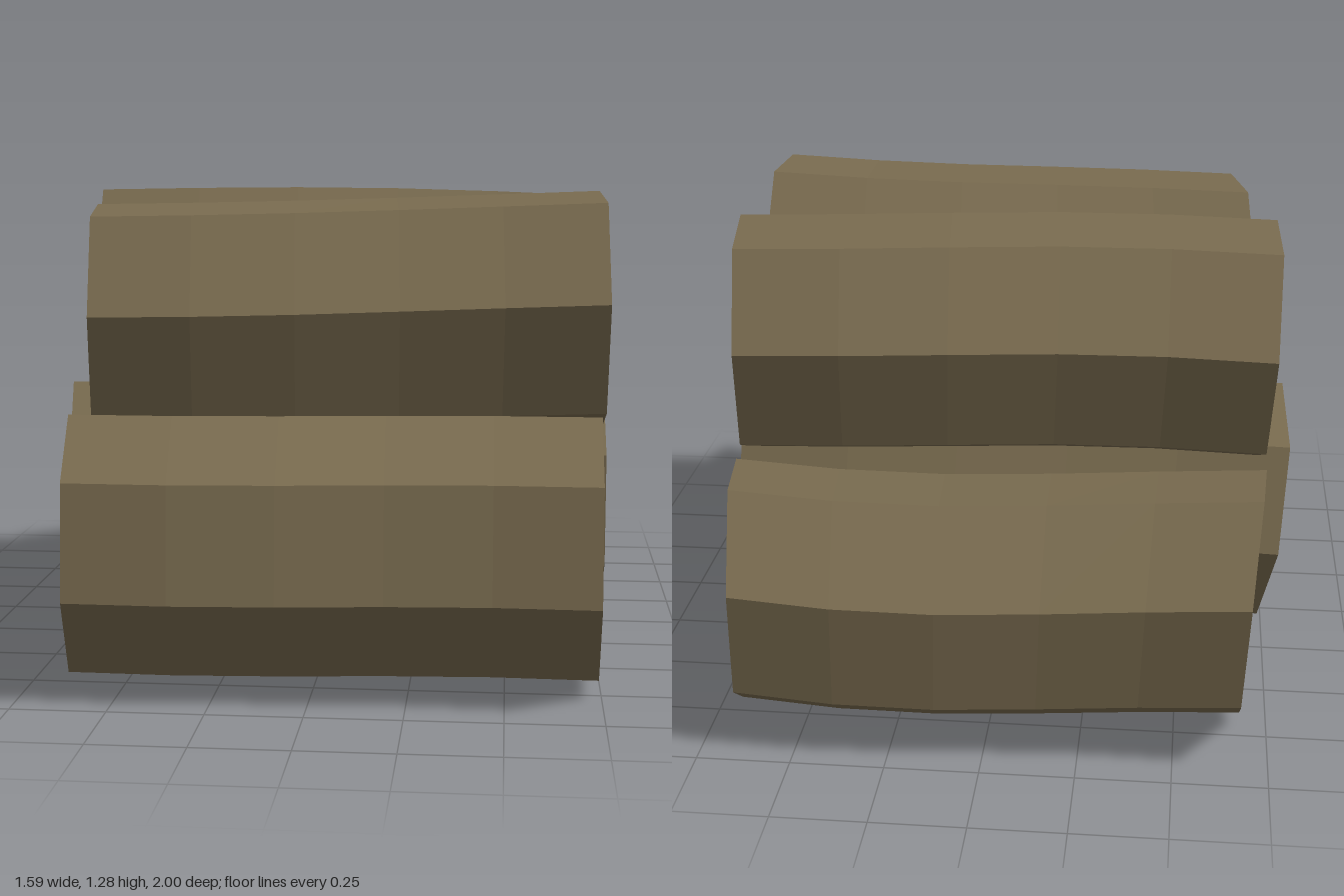
import * as THREE from 'three';

const SIDES = 7;
const SEGMENTS = 5;

const bark = new THREE.MeshStandardMaterial({ color: 0x7a6c50, flatShading: true });
const cutWood = new THREE.MeshStandardMaterial({ color: 0xab9470, flatShading: true });

function makeMesh(name, triangles, material) {
  const geometry = new THREE.BufferGeometry().setFromPoints(triangles);
  geometry.computeVertexNormals();
  const mesh = new THREE.Mesh(geometry, material);
  mesh.name = name;
  return mesh;
}

// A seven-sided log along x. turn is the angle of its first corner in degrees,
// right and left are the sloped saw cuts, shift moves the right end, lift bows the middle.
function makeLog(name, { z, y, radius, turn, right, left, shift, lift }) {
  const cutX = (cut, dz, dy) => cut.x + (cut.slopeZ ?? 0) * dz + (cut.slopeY ?? 0) * dy;

  // Point of the section, offset from the axis, carried to ring i
  const place = (dz, dy, i) => {
    const t = i / SEGMENTS;
    return new THREE.Vector3(
      THREE.MathUtils.lerp(cutX(right, dz, dy), cutX(left, dz, dy), t),
      y + dy + shift.y * (1 - t) + lift * Math.sin(Math.PI * t),
      z + dz + shift.z * (1 - t) + 0.016 * Math.sin(2 * Math.PI * t));
  };
  const corner = (k, i) => {
    const angle = THREE.MathUtils.degToRad(turn) + (k / SIDES) * Math.PI * 2;
    return place(radius * Math.cos(angle), radius * Math.sin(angle), i);
  };

  const side = [], rightCap = [], leftCap = [];
  for (let k = 0; k < SIDES; k++) {
    for (let i = 0; i < SEGMENTS; i++) {
      const a = corner(k, i), b = corner(k, i + 1), c = corner(k + 1, i + 1), d = corner(k + 1, i);
      side.push(a, b, c, a, c, d);
    }
    rightCap.push(place(0, 0, 0), corner(k, 0), corner(k + 1, 0));
    leftCap.push(place(0, 0, SEGMENTS), corner(k + 1, SEGMENTS), corner(k, SEGMENTS));
  }

  const log = new THREE.Group();
  log.name = name;
  log.add(
    makeMesh('bark', side, bark),
    makeMesh('rightCutEnd', rightCap, cutWood),
    makeMesh('leftCutEnd', leftCap, cutWood));
  return log;
}

export function createModel() {
  const pile = new THREE.Group();
  pile.name = 'logPile';

  // Bottom row of three
  pile.add(makeLog('frontBottomLog', {
    z: 0.635, y: 0.364, radius: 0.348, turn: 89.5,
    right: { x: -0.665, slopeZ: 0.15 }, left: { x: 0.745, slopeZ: -0.02 },
    shift: { y: -0.01, z: 0.015 }, lift: 0,
  }));
  pile.add(makeLog('middleBottomLog', {
    z: 0.004, y: 0.384, radius: 0.351, turn: 80.5,
    right: { x: -0.75, slopeZ: 0.09, slopeY: -0.12 }, left: { x: 0.775 },
    shift: { y: -0.02, z: 0.01 }, lift: 0,
  }));
  pile.add(makeLog('backBottomLog', {
    z: -0.671, y: 0.356, radius: 0.339, turn: 57.2,
    right: { x: -0.7, slopeZ: -0.06, slopeY: -0.06 }, left: { x: 0.7, slopeZ: 0.17 },
    shift: { y: 0.02, z: 0.015 }, lift: -0.03,
  }));

  // Two logs resting in the gaps
  pile.add(makeLog('frontTopLog', {
    z: 0.33, y: 0.954, radius: 0.354, turn: 60.3,
    right: { x: -0.645, slopeZ: 0.15 }, left: { x: 0.75, slopeZ: 0.03 },
    shift: { y: -0.04, z: 0.045 }, lift: -0.005,
  }));
  pile.add(makeLog('backTopLog', {
    z: -0.324, y: 0.945, radius: 0.339, turn: 66.7,
    right: { x: -0.725, slopeZ: 0.03, slopeY: -0.05 }, left: { x: 0.735, slopeZ: 0.16 },
    shift: { y: 0.015, z: 0.035 }, lift: 0.015,
  }));
  return pile;
}
